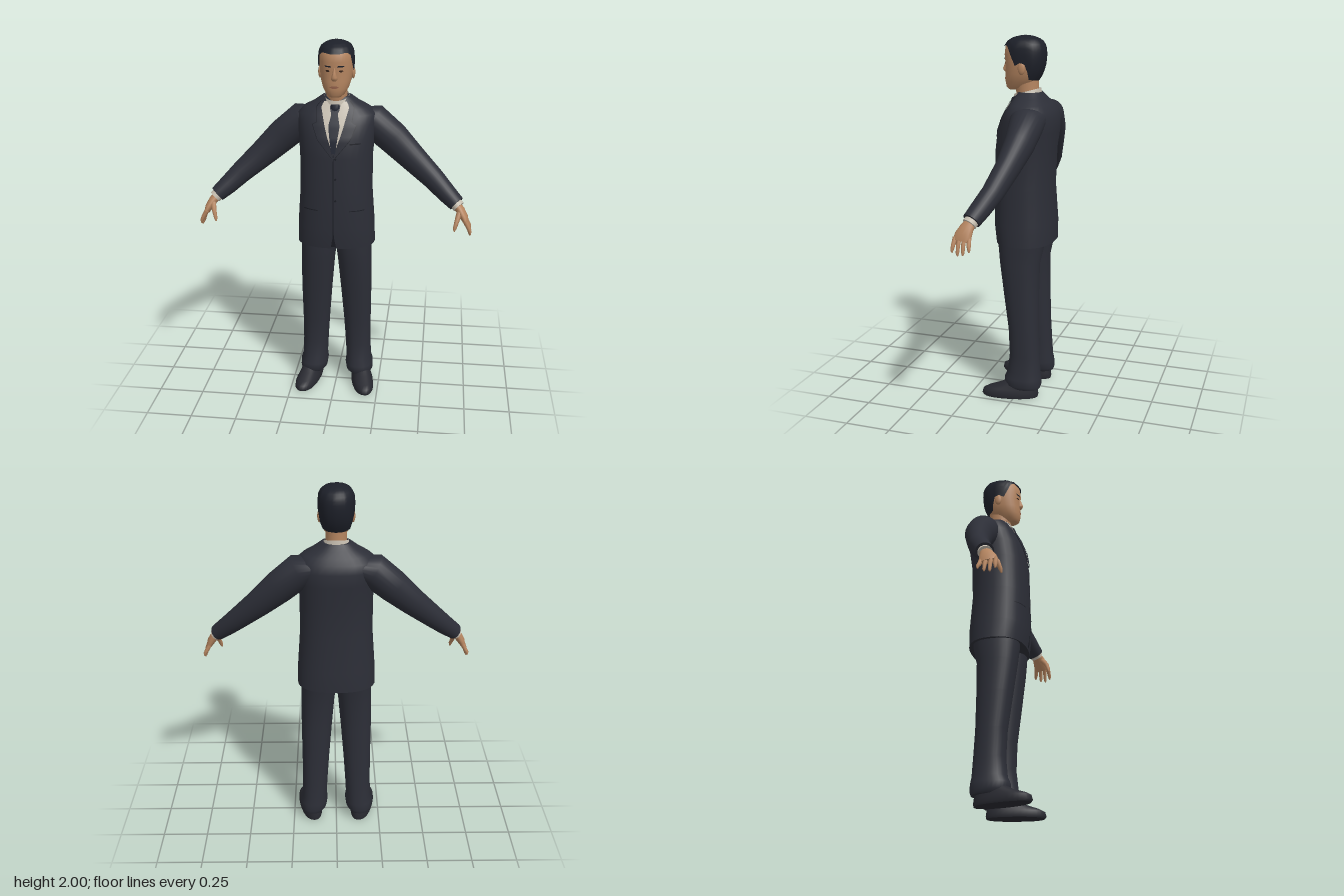
import * as THREE from 'three';

const mat = (name, color, side = THREE.FrontSide) =>
  Object.assign(new THREE.MeshStandardMaterial({ color, side }), { name });

// Linear lookup in rows sorted by their first value
function sample(rows, k) {
  let i = 0;
  while (i < rows.length - 2 && rows[i + 1][0] < k) i++;
  const a = rows[i], b = rows[i + 1];
  const t = THREE.MathUtils.clamp((k - a[0]) / (b[0] - a[0]), 0, 1);
  return a.map((v, j) => v + (b[j] - v) * t);
}

const SEG = 32;
const power = (v, p) => Math.sign(v) * Math.abs(v) ** (2 / p);

// Level superellipse ring
function ring(y, x0, x1, zb, zf, p = 2.3, n = SEG) {
  return Array.from({ length: n }, (_, j) => {
    const t = (j / n) * Math.PI * 2;
    return new THREE.Vector3((x0 + x1) / 2 + ((x1 - x0) / 2) * power(Math.cos(t), p), y,
      (zf + zb) / 2 + ((zf - zb) / 2) * power(Math.sin(t), p));
  });
}

// Skin a list of rings, optionally closing both ends
function loft(rings, caps = true) {
  const n = rings[0].length, pos = [], idx = [];
  rings.forEach(r => r.forEach(v => pos.push(v.x, v.y, v.z)));
  for (let i = 0; i < rings.length - 1; i++) {
    for (let j = 0; j < n; j++) {
      const a = i * n + j, b = i * n + (j + 1) % n, c = a + n, d = b + n;
      idx.push(a, c, b, b, c, d);
    }
  }
  if (caps) [rings[0], rings[rings.length - 1]].forEach((r, end) => {
    const base = pos.length / 3;
    const mid = r.reduce((m, v) => m.add(v), new THREE.Vector3()).divideScalar(n);
    [...r, mid].forEach(v => pos.push(v.x, v.y, v.z));
    for (let j = 0; j < n; j++) {
      const a = base + j, b = base + (j + 1) % n;
      idx.push(base + n, end ? b : a, end ? a : b);
    }
  });
  return geometry(pos, idx);
}

function geometry(pos, idx) {
  const g = new THREE.BufferGeometry();
  g.setAttribute('position', new THREE.Float32BufferAttribute(pos, 3));
  g.setIndex(idx);
  g.computeVertexNormals();
  return g;
}

// Limb along points [x, y, z, thickness, depth], mirrored by s
function limb(points, s, n = 16) {
  const c = points.map(p => new THREE.Vector3(p[0] * s, p[1], p[2]));
  return loft(points.map((p, i) => {
    const d = c[Math.min(i + 1, c.length - 1)].clone().sub(c[Math.max(i - 1, 0)]).normalize();
    const v = new THREE.Vector3(0, 0, 1).addScaledVector(d, -d.z).normalize();
    const u = d.clone().cross(v);
    return Array.from({ length: n }, (_, j) => {
      const t = (j / n) * Math.PI * 2;
      return c[i].clone().addScaledVector(u, Math.cos(t) * p[3]).addScaledVector(v, Math.sin(t) * p[4]);
    });
  }));
}

// Thin plate lying on the front of a body; rows are [y, xLeft, xRight]
function patch(body, p, rows, lift, s = 1) {
  const pos = [], idx = [], R = 20, C = 8;
  for (let i = 0; i <= R; i++) {
    const y = rows[0][0] + (rows[rows.length - 1][0] - rows[0][0]) * (i / R);
    const [, l, r] = sample(rows, y), [, hw, zf, zb] = sample(body, y);
    const x0 = s > 0 ? l : -r, x1 = s > 0 ? r : -l;
    for (let j = 0; j <= C; j++) {
      const x = x0 + (x1 - x0) * (j / C);
      const k = Math.max(0, 1 - Math.abs(x / hw) ** p) ** (1 / p);
      pos.push(x, y, (zf + zb) / 2 + ((zf - zb) / 2) * k + lift);
      if (i < R && j < C) {
        const a = i * (C + 1) + j, c = a + C + 1;
        idx.push(a, a + 1, c + 1, a, c + 1, c);
      }
    }
  }
  return geometry(pos, idx);
}

// Body tables: height, half width, front z, back z
const TORSO = [[0.89, 0.214, 0.137, -0.18], [1, 0.211, 0.15, -0.18], [1.2, 0.197, 0.147, -0.166],
  [1.4, 0.197, 0.143, -0.173], [1.5, 0.205, 0.13, -0.187], [1.57, 0.213, 0.104, -0.187],
  [1.615, 0.21, 0.08, -0.172], [1.645, 0.175, 0.062, -0.148], [1.675, 0.12, 0.045, -0.12], [1.705, 0.078, 0.025, -0.098]];
const HEAD = [[1.715, 0.03, 0.082, 0.015], [1.728, 0.048, 0.096, -0.03], [1.76, 0.068, 0.101, -0.07],
  [1.8, 0.08, 0.101, -0.095], [1.85, 0.086, 0.099, -0.11], [1.9, 0.088, 0.104, -0.115], [1.94, 0.085, 0.099, -0.11],
  [1.968, 0.07, 0.078, -0.092], [1.984, 0.045, 0.048, -0.06], [1.992, 0.01, 0.004, -0.02]];
// Hair edge height by facing, from the back (-1) to the front (1)
const HAIRLINE = [[-1, 1.765], [-0.5, 1.775], [-0.25, 1.85], [0.08, 1.865], [0.2, 1.845], [0.32, 1.855],
  [0.45, 1.925], [0.75, 1.95], [1, 1.942]];
const TP = 2.4, HP = 2.25;

export function createModel() {
  const M = {
    suit: mat('suit charcoal', 0x2c2e37), seam: mat('seam dark', 0x1b1d24, THREE.DoubleSide),
    skin: mat('skin', 0xb58560), hair: mat('hair', 0x1d2029, THREE.DoubleSide),
    shirt: mat('shirt', 0xc4bcae, THREE.DoubleSide), tie: mat('tie', 0x232733, THREE.DoubleSide),
    shoe: mat('shoe', 0x282930), eye: mat('eye', 0x3a261c, THREE.DoubleSide), lip: mat('lip', 0x93604a, THREE.DoubleSide),
  };
  const model = new THREE.Group();
  model.name = 'suitedMan';
  const add = (name, geo, material, parent = model) => {
    const m = new THREE.Mesh(geo, material);
    m.name = name;
    parent.add(m);
    return m;
  };
  const level = (rows, p) => rows.map(([y, w, f, b]) => ring(y, -w, w, b, f, p));

  // Jacket, shirt front and tie
  add('jacket', loft(level(TORSO, TP)), M.suit);
  add('shirtFront', patch(TORSO, TP, [[1.43, -0.004, 0.004], [1.53, -0.04, 0.04], [1.66, -0.074, 0.074], [1.685, -0.06, 0.06]], 0.004), M.shirt);
  add('tie', patch(TORSO, TP, [[1.43, -0.01, 0.01], [1.57, -0.03, 0.03], [1.63, -0.016, 0.016], [1.635, -0.022, 0.022], [1.668, -0.028, 0.028]], 0.009), M.tie);
  add('frontOpening', patch(TORSO, TP, [[0.9, -0.014, 0.014], [0.96, -0.003, 0.003], [1.42, -0.002, 0.002]], 0.002), M.seam);
  for (const y of [1.17, 1.29, 1.4]) {
    add('jacketButton', patch(TORSO, TP, [[y - 0.007, 0.01, 0.012], [y, 0.004, 0.018], [y + 0.007, 0.01, 0.012]], 0.004), M.seam);
  }
  add('breastPocket', patch(TORSO, TP, [[1.475, 0.085, 0.14], [1.482, 0.085, 0.14]], 0.003), M.seam);

  // Neck and slanted shirt collar
  add('neck', loft([[1.64, -0.085, 0.03], [1.7, -0.08, 0.042], [1.78, -0.082, 0.05]].map(([y, b, f]) => ring(y, -0.056, 0.056, b, f, 2))), M.skin);
  const collar = [[1.635, 0.088, 0.062], [1.675, 0.076, 0.058], [1.704, 0.064, 0.052]].map(([y, w, f]) => {
    const r = ring(y, -w, w, -0.07 - w * 0.35, f, 2.1);
    r.forEach(v => { v.y -= v.z * 0.25; });
    return r;
  });
  add('shirtCollar', loft(collar, false), M.shirt);
  add('tieKnot', loft([[1.622, 0.014, 0.07], [1.65, 0.026, 0.075], [1.672, 0.024, 0.067]]
    .map(([y, w, f]) => ring(y, -w, w, 0.03, f, 2.3, 12))), M.tie);

  // Head and hair shell
  add('head', loft(level(HEAD, HP)), M.skin);
  const hairRows = [];
  for (let i = 0; i <= 12; i++) {
    const r = ring(0, -1, 1, -1, 1, 2);
    hairRows.push(r.map((v, j) => {
      const low = sample(HAIRLINE, v.z)[1];
      const y = low + (1.992 - low) * (1 - (1 - i / 12) ** 1.5);
      const [, w, f, b] = sample(HEAD, y);
      const lift = 0.008 + 0.002 * Math.sin(j * 2.4);
      const q = ring(y + (i / 12) * 0.008, -w - lift, w + lift, b - lift, f + lift, HP);
      return q[j];
    }));
  }
  add('hair', loft(hairRows, false), M.hair);
  add('hairCrown', loft([hairRows[12], hairRows[12].map(() => new THREE.Vector3(0, 2, -0.008))], false), M.hair);
  add('nose', loft([[1.803, 0.008, 0.104], [1.812, 0.018, 0.113], [1.824, 0.015, 0.119], [1.845, 0.009, 0.111], [1.872, 0.006, 0.102]]
    .map(([y, w, f]) => ring(y, -w, w, 0.08, f, 2, 12))), M.skin);
  add('mouth', patch(HEAD, HP, [[1.766, -0.01, 0.01], [1.773, -0.026, 0.026], [1.779, -0.01, 0.01]], 0.003), M.lip);

  for (const s of [1, -1]) {
    const side = new THREE.Group();
    side.name = s > 0 ? 'leftSide' : 'rightSide';
    model.add(side);

    // Face details
    add('eye', patch(HEAD, HP, [[1.85, 0.033, 0.037], [1.855, 0.023, 0.047], [1.861, 0.03, 0.041]], 0.003, s), M.eye, side);
    add('eyebrow', patch(HEAD, HP, [[1.876, 0.016, 0.045], [1.883, 0.018, 0.054]], 0.003, s), M.hair, side);
    const ear = add('ear', new THREE.SphereGeometry(1, 12, 10), M.skin, side);
    ear.scale.set(0.011, 0.033, 0.02);
    ear.position.set(s * 0.087, 1.832, -0.012);

    // Lapel with a dark edge, and pocket
    const lapel = [[1.405, 0, 0.006], [1.5, 0.03, 0.085], [1.575, 0.053, 0.115], [1.585, 0.056, 0.09], [1.66, 0.074, 0.098], [1.685, 0.06, 0.075]];
    add('lapelEdge', patch(TORSO, TP, lapel.map(([y, a, b]) => [y, a, b + 0.004]), 0.004, s), M.seam, side);
    add('lapel', patch(TORSO, TP, lapel, 0.008, s), M.suit, side);
    add('pocketFlap', patch(TORSO, TP, [[1.108, 0.085, 0.165], [1.113, 0.085, 0.165]], 0.003, s), M.seam, side);

    // Sleeve and cuff
    add('sleeve', limb([[0.1, 1.585, -0.075, 0.05, 0.085], [0.19, 1.56, -0.075, 0.092, 0.092], [0.3, 1.468, -0.07, 0.088, 0.077],
      [0.41, 1.367, -0.045, 0.074, 0.062], [0.53, 1.262, -0.008, 0.06, 0.055], [0.6, 1.197, 0.028, 0.052, 0.052],
      [0.655, 1.15, 0.055, 0.044, 0.048]], s, 24), M.suit, side);
    add('cuff', limb([[0.64, 1.16, 0.048, 0.034, 0.038], [0.667, 1.135, 0.062, 0.034, 0.038]], s), M.shirt, side);

    // Hand
    const hand = new THREE.Group();
    hand.name = 'hand';
    side.add(hand);
    add('palm', limb([[0.65, 1.15, 0.055, 0.024, 0.028], [0.676, 1.12, 0.07, 0.024, 0.036], [0.698, 1.085, 0.082, 0.021, 0.046],
      [0.71, 1.058, 0.088, 0.014, 0.044]], s), M.skin, hand);
    [[0.05, 0.04, 1.012], [0.075, 0.072, 0.994], [0.1, 0.1, 0.99], [0.123, 0.128, 1.005]].forEach(([z0, z1, y]) =>
      add('finger', limb([[0.702, 1.075, z0, 0.012, 0.012], [0.722, 1.04, (z0 + z1) / 2, 0.011, 0.011],
        [0.731, y + 0.014, z1, 0.009, 0.009], [0.733, y, z1, 0.004, 0.004]], s, 8), M.skin, hand));
    add('thumb', limb([[0.672, 1.115, 0.09, 0.016, 0.018], [0.66, 1.078, 0.122, 0.013, 0.014],
      [0.65, 1.04, 0.136, 0.01, 0.01], [0.647, 1.022, 0.139, 0.004, 0.004]], s, 8), M.skin, hand);

    // Trouser leg: height, inner x, outer x, back z, front z
    const span = ([y, a, b, zb, zf], p) => ring(y, Math.min(a * s, b * s), Math.max(a * s, b * s), zb, zf, p);
    add('trouserLeg', loft([[0.055, 0.075, 0.2, -0.135, 0.045], [0.075, 0.058, 0.212, -0.142, 0.066], [0.115, 0.052, 0.211, -0.14, 0.066],
      [0.15, 0.057, 0.2, -0.134, 0.05], [0.25, 0.052, 0.196, -0.128, 0.04], [0.4, 0.042, 0.196, -0.12, 0.047], [0.6, 0.026, 0.198, -0.118, 0.075],
      [0.78, 0.01, 0.197, -0.12, 0.1], [0.87, -0.002, 0.196, -0.14, 0.11], [0.98, -0.01, 0.196, -0.15, 0.115]].map(r => span(r, 2.3))), M.suit, side);

    // Shoe, toes turned out
    const shoe = [[0, 0.092, 0.21, -0.122, 0.178], [0.012, 0.088, 0.214, -0.125, 0.188], [0.035, 0.09, 0.212, -0.122, 0.182],
      [0.05, 0.097, 0.205, -0.12, 0.155], [0.07, 0.102, 0.2, -0.118, 0.095], [0.1, 0.11, 0.19, -0.11, 0.04]].map(r => {
      const pts = span(r, 2.3);
      pts.forEach(v => { v.x += s * v.z * 0.17; });
      return pts;
    });
    add('shoe', loft(shoe), M.shoe, side);
  }
  return model;
}
